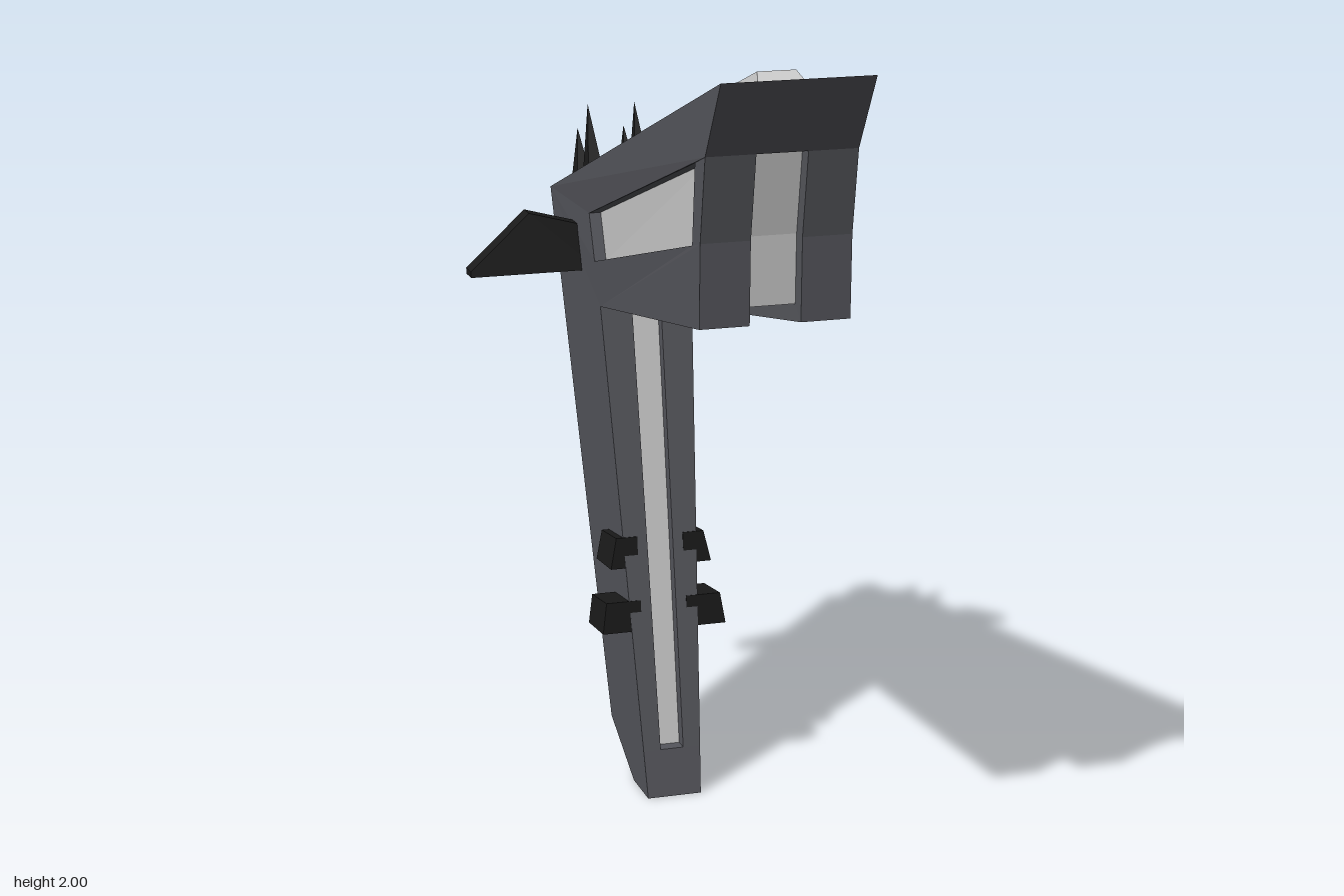
import * as THREE from 'three';
import { ConvexGeometry } from 'three/addons/geometries/ConvexGeometry.js';

const mat = (color) => new THREE.MeshStandardMaterial({ color, flatShading: true, side: THREE.DoubleSide });
const V = (x, y, z) => new THREE.Vector3(x, y, z);

// Collects quads and triangles into one flat-shaded mesh
class Faces {
  constructor() { this.pts = []; }
  tri(a, b, c) { this.pts.push(a, b, c); }
  quad(a, b, c, d) { this.tri(a, b, c); this.tri(a, c, d); }
  mesh(name, material) {
    const g = new THREE.BufferGeometry().setFromPoints(this.pts);
    g.computeVertexNormals();
    const m = new THREE.Mesh(g, material);
    m.name = name;
    return m;
  }
}

// Side outline: z, y, half width, then groove half width and groove floor z, y
const OUTLINE = [
  [0.84, 2.0, 0.177],
  [0.73, 1.82, 0.177, 0.06, 0.69, 1.82],
  [0.695, 1.62, 0.177, 0.06, 0.655, 1.62],
  [0.69, 1.425, 0.177, 0.06, 0.65, 1.458],
  [-0.32, 1.235, 0.12, 0.038, -0.355, 1.268],
  [-0.103, 0.12, 0.075, 0.03, -0.138, 0.12],
  [-0.08, 0, 0.07],
  [-0.21, 0, 0.07],
  [-0.4, 0.11, 0.075],
  [-0.78, 1.45, 0.124],
];
// Recessed side panel: z, y, half width
const PANEL = [[0.64, 1.79, 0.172], [0.62, 1.6, 0.172], [-0.35, 1.345, 0.126], [-0.39, 1.46, 0.128]];
const PANEL_DEPTH = 0.03;

export function createModel() {
  const group = new THREE.Group();
  const grey = mat(0x55565c), light = mat(0xbfbfbf), black = mat(0x1a1a1a);
  const hull = (name, pts, material) => {
    const m = new THREE.Mesh(new ConvexGeometry(pts), material);
    m.name = name;
    group.add(m);
  };

  const body = new Faces(), inlay = new Faces();

  // Body sides with the panel recess
  const flat = (list) => list.map(([z, y]) => new THREE.Vector2(-z, y));
  const tris = THREE.ShapeUtils.triangulateShape(flat(OUTLINE), [flat(PANEL)]);
  const all = [...OUTLINE, ...PANEL];
  for (const s of [1, -1]) {
    const at = ([z, y, w], inset = 0) => V(s * (w - inset), y, z);
    const face = (a, b, c) => (s > 0 ? [a, b, c] : [a, c, b]);
    for (const [a, b, c] of tris) body.tri(...face(at(all[a]), at(all[b]), at(all[c])));
    const floor = PANEL.map((p) => at(p, PANEL_DEPTH));
    inlay.tri(...face(floor[0], floor[1], floor[2]));
    inlay.tri(...face(floor[0], floor[2], floor[3]));
    PANEL.forEach((p, i) => {
      const j = (i + 1) % 4;
      body.quad(at(p), at(PANEL[j]), floor[j], floor[i]);
    });
  }

  // Rim around the outline, with a groove down the front, underside and leg
  const chain = ([z, y, w, g, fz, fy], grooved) => (grooved
    ? [V(w, y, z), V(g, y, z), V(g, fy, fz), V(-g, fy, fz), V(-g, y, z), V(-w, y, z)]
    : [V(w, y, z), V(-w, y, z)]);
  OUTLINE.forEach((p, i) => {
    const grooved = i >= 1 && i <= 4;
    const a = chain(p, grooved), b = chain(OUTLINE[(i + 1) % OUTLINE.length], grooved);
    for (let j = 0; j < a.length - 1; j++) {
      const target = grooved && j === 2 && i !== 3 ? inlay : body;
      target.quad(a[j], a[j + 1], b[j + 1], b[j]);
    }
  });
  // Groove ends
  const top = chain(OUTLINE[1], true), end = chain(OUTLINE[5], true);
  body.quad(top[1], top[4], top[3], top[2]);
  body.quad(end[1], end[2], end[3], end[4]);
  group.add(body.mesh('body', grey), inlay.mesh('inlays', light));

  // Bevelled ridge over the arm and down the back of the leg
  const ridge = [ // base half width, y, z, crest half width, y, z
    [0.06, 1.963, 0.74, 0.045, 1.993, 0.685],
    [0.042, 1.45, -0.78, 0.03, 1.475, -0.84],
    [0.035, 0.21, -0.428, 0.025, 0.23, -0.49],
  ];
  const ridgeRing = ([bw, by, bz, cw, cy, cz]) => [V(bw, by, bz), V(-bw, by, bz), V(cw, cy, cz), V(-cw, cy, cz)];
  hull('armRidge', [...ridgeRing(ridge[0]), ...ridgeRing(ridge[1])], light);
  hull('legRidge', [...ridgeRing(ridge[1]), ...ridgeRing(ridge[2])], light);

  for (const s of [1, -1]) {
    const side = s > 0 ? 'left' : 'right';

    // Swept spikes: front z, back z, tip y, tip z
    for (const [z0, z1, ty, tz] of [[-0.555, -0.615, 1.69, -0.635], [-0.665, -0.73, 1.61, -0.735]]) {
      const base = [];
      for (const x of [0.04, 0.083]) for (const z of [z0, z1]) base.push(V(s * x, 1.7 + 0.34 * z, z));
      hull(side + 'Spike', [...base, V(s * 0.062, ty, tz)], black);
    }

    // Wing fins, leaning back as they rise
    const fin = [];
    for (const [x, y] of [[0.08, 1.29], [0.41, 1.29], [0.41, 1.305], [0.25, 1.44], [0.08, 1.395]]) {
      const z = -0.515 - (y - 1.29) * 0.2;
      fin.push(V(s * x, y, z + 0.025), V(s * x, y, z - 0.025));
    }
    hull(side + 'Fin', fin, black);

    // Leg studs: front z, top y, outer x at top and bottom
    for (const [z, y, xt, xb] of [[-0.205, 0.66, 0.115, 0.132], [-0.175, 0.5, 0.15, 0.162]]) {
      const stud = [];
      for (const [dz, dy, x] of [[0, 0, xt], [-0.135, -0.018, xt], [-0.125, -0.09, xb], [0.01, -0.078, xb]]) {
        stud.push(V(s * 0.06, y + dy, z + dz), V(s * x, y + dy, z + dz));
      }
      hull(side + 'LegStud', stud, black);
    }
  }

  // Three clamps under one side of the arm: front z, top y, outer x
  for (const [z, y, x] of [[0.25, 1.505, 0.178], [0.062, 1.468, 0.17], [-0.125, 1.418, 0.16]]) {
    const clamp = [];
    for (const [dz, dy, dx] of [[0, 0, -0.008], [-0.1, -0.018, -0.008], [-0.113, -0.163, -0.006], [0, -0.143, -0.006],
      [-0.05, -0.01, 0], [-0.055, -0.152, 0]]) {
      clamp.push(V(x - 0.07, y + dy, z + dz), V(x + dx, y + dy, z + dz));
    }
    hull('armClamp', clamp, black);
  }
  return group;
}
